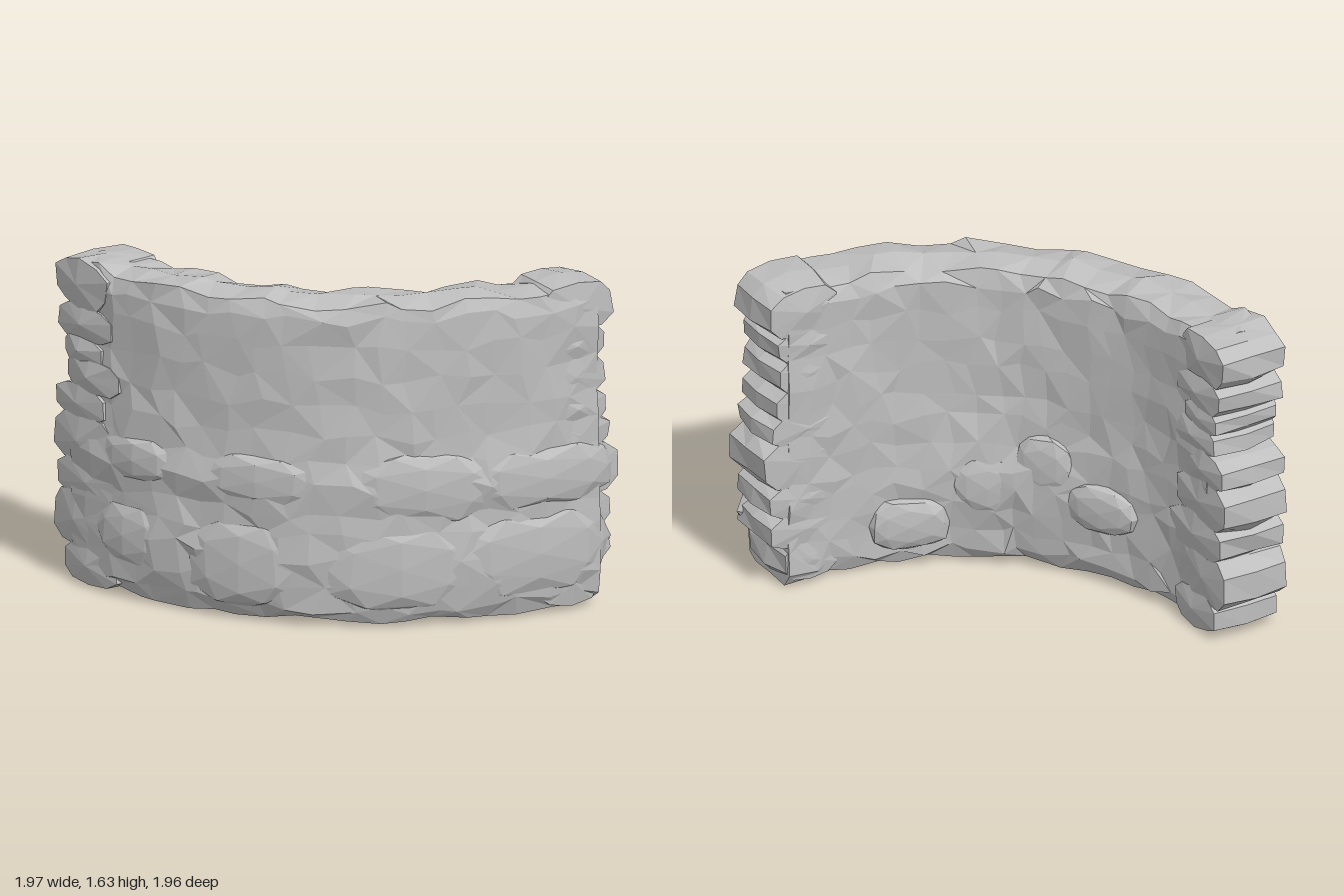
import * as THREE from 'three';

const LENGTH = 2.91;

// plan centre line of the quarter-round wall
const path = new THREE.CatmullRomCurve3([
  [-1, 0.785], [-0.58, 0.78], [-0.25, 0.7], [0.07, 0.54], [0.34, 0.34],
  [0.54, 0.07], [0.69, -0.25], [0.77, -0.58], [0.775, -0.98],
].map(([x, z]) => new THREE.Vector3(x, 0, z)));
path.arcLengthDivisions = 400;

// repeatable value in -1..1 for a position
function noise(a, b, c) {
  const v = Math.sin(a * 12.9898 + b * 78.233 + c * 37.719) * 43758.5453;
  return (v - Math.floor(v)) * 2 - 1;
}

const square = (v, e) => Math.sign(v) * Math.abs(v) ** e;
const bell = (v, mid, width) => Math.exp(-(((v - mid) / width) ** 2));

// wall coordinates (along 0..1, height, distance out from centre line) to space
function toWall(u, y, w) {
  const k = THREE.MathUtils.clamp(u, 0, 1);
  const p = path.getPointAt(k), t = path.getTangentAt(k);
  return [p.x - t.z * w, Math.max(y, 0), p.z + t.x * w];
}

// continuous rough core: rounded cross-section swept along the path
function coreGeometry() {
  const ring = [];
  const heights = [0.1, 0.22, 0.35, 0.47, 0.57, 0.7, 0.82, 0.95, 1.1, 1.25, 1.4, 1.53];
  heights.forEach((y) => ring.push([0.165, y]));
  ring.push([0.14, 1.6], [0.0, 1.62], [-0.14, 1.6]);
  [...heights].reverse().forEach((y) => ring.push([-0.17, y]));
  ring.push([-0.13, 0.04], [0, 0.045], [0.13, 0.04]);

  const N = 20, K = ring.length, pos = [], index = [];
  const start = 0.06, finish = 0.95;
  for (let i = 0; i <= N; i++) {
    ring.forEach(([w, y], j) => {
      const end = i === 0 || i === N;
      const u = start + (i / N) * (finish - start) + (end ? 0 : noise(i, j, 1) * 0.014);
      let h = y + noise(i, j, 2) * (y > 1.58 || y < 0.05 ? 0.018 : 0.03);
      if (y > 1.58) h += 0.012 * Math.sin(i * 1.7);
      let d = w + noise(i, j, 3) * 0.012;
      // lower courses stand proud on the outer face
      if (w > 0.15) d += 0.028 * (bell(y, 0.7, 0.12) + bell(y, 0.33, 0.17));
      // inner face swells low down around the middle of the curve
      if (w < -0.15) d -= 0.06 * bell(u, 0.52, 0.13) * bell(y, 0.48, 0.22);
      pos.push(...toWall(u, h, d));
    });
  }
  for (let i = 0; i < N; i++) {
    for (let j = 0; j < K; j++) {
      const a = i * K + j, d = i * K + (j + 1) % K, b = a + K, c = d + K;
      if ((i + j) % 2) index.push(a, b, c, a, c, d);
      else index.push(a, b, d, b, c, d);
    }
  }
  // end caps: a fan across the ring
  for (const [row, flip] of [[0, false], [N, true]]) {
    const first = row * K, centre = pos.length / 3;
    pos.push(...toWall(row ? finish : start, 0.8, 0));
    for (let j = 0; j < K; j++) {
      const a = first + j, b = first + (j + 1) % K;
      index.push(centre, flip ? b : a, flip ? a : b);
    }
  }
  const g = new THREE.BufferGeometry();
  g.setAttribute('position', new THREE.Float32BufferAttribute(pos, 3));
  g.setIndex(index);
  g.computeVertexNormals();
  return g;
}

// bend a unit block to the wall; shape(x, y, z) gives its rounded unit position
function bendBlock(g, [a, b, y0, y1], w, depth, seed, shape) {
  const p = g.attributes.position;
  for (let i = 0; i < p.count; i++) {
    const v = [p.getX(i), p.getY(i), p.getZ(i)];
    const q = v.map((n) => Math.round(n * 100) / 100 + 0);
    const r = 1 + 0.07 * noise(q[0] + seed, q[1], q[2]);
    const [x, y, z] = shape(...v);
    p.setXYZ(i, ...toWall(
      ((a + b) / 2 + x * r * (b - a) / 2) / LENGTH,
      (y0 + y1) / 2 + y * r * (y1 - y0) / 2,
      w + z * (1 + (r - 1) * 0.4) * depth));
  }
  g.computeVertexNormals();
  return g;
}

// rounded facing stone
const facingStone = (row, w, depth, seed) => bendBlock(
  new THREE.IcosahedronGeometry(1, 1), row, w, depth, seed,
  (x, y, z) => [square(x, 0.8), square(y, 0.8), square(z, 0.75)]);

// stone running through the whole thickness, with slightly domed faces
const throughStone = (row, w, depth, seed) => bendBlock(
  new THREE.CylinderGeometry(1, 1, 2, 10, 2).rotateX(Math.PI / 2), row, w, depth, seed,
  (x, y, z) => {
    const rim = Math.abs(z) > 0.9 && Math.hypot(x, y) > 0.5;
    const s = rim ? 0.93 : 1;
    return [square(x, 0.8) * s, square(y, 0.7) * s, z * (rim ? 0.88 : 1)];
  });

export function createModel() {
  const model = new THREE.Group();
  model.name = 'curvedStoneWall';
  const stone = new THREE.MeshStandardMaterial({ color: 0xbebebe, flatShading: true });
  stone.name = 'grey stone';

  const core = new THREE.Mesh(coreGeometry(), stone);
  core.name = 'wallCore';
  model.add(core);

  // each row: start and end distance along the wall, bottom, top
  const addStones = (name, make, w, depth, rows) => {
    const group = new THREE.Group();
    group.name = name;
    rows.forEach((row, i) => {
      const m = new THREE.Mesh(make(row, w, depth, i + w * 7), stone);
      m.name = 'stone';
      group.add(m);
    });
    model.add(group);
  };

  // ragged stacks at the two ends
  addStones('rightEndStones', throughStone, 0.0, 0.195, [
    [0.02, 0.44, 1.37, 1.63], [0.05, 0.47, 1.21, 1.41], [0.09, 0.4, 1.1, 1.25],
    [0.1, 0.52, 0.97, 1.15], [0.03, 0.42, 0.81, 1.01], [0, 0.48, 0.58, 0.87],
    [0.04, 0.55, 0.41, 0.65], [0.01, 0.4, 0.17, 0.48], [0.1, 0.5, 0.01, 0.23],
  ]);
  addStones('leftEndStones', throughStone, -0.004, 0.176, [
    [2.45, 2.88, 1.37, 1.64], [2.45, 2.84, 1.23, 1.41], [2.45, 2.83, 1.06, 1.27],
    [2.45, 2.85, 0.91, 1.1], [2.45, 2.87, 0.78, 0.96], [2.45, 2.91, 0.55, 0.84],
    [2.45, 2.88, 0.39, 0.59], [2.45, 2.87, 0.22, 0.43], [2.45, 2.8, 0.03, 0.27],
  ]);

  // proud stones on the lower courses of the outer face
  addStones('outerCourseStones', facingStone, 0.135, 0.075, [
    [0.38, 0.82, 0.6, 0.85], [0.92, 1.5, 0.59, 0.85],
    [1.57, 2.3, 0.52, 0.88], [2.1, 2.87, 0.55, 0.86],
    [0.34, 0.75, 0.18, 0.5], [0.84, 1.42, 0.07, 0.53],
    [1.46, 2.2, 0.09, 0.53], [2.05, 2.85, 0.12, 0.55],
  ]);

  // flatter stones on the inner face
  addStones('innerCourseStones', facingStone, -0.165, 0.065, [
    [1.15, 1.5, 0.44, 0.76], [1.45, 1.85, 0.3, 0.62],
    [0.75, 1.2, 0.3, 0.56], [1.85, 2.3, 0.12, 0.4],
  ]);

  return model;
}
